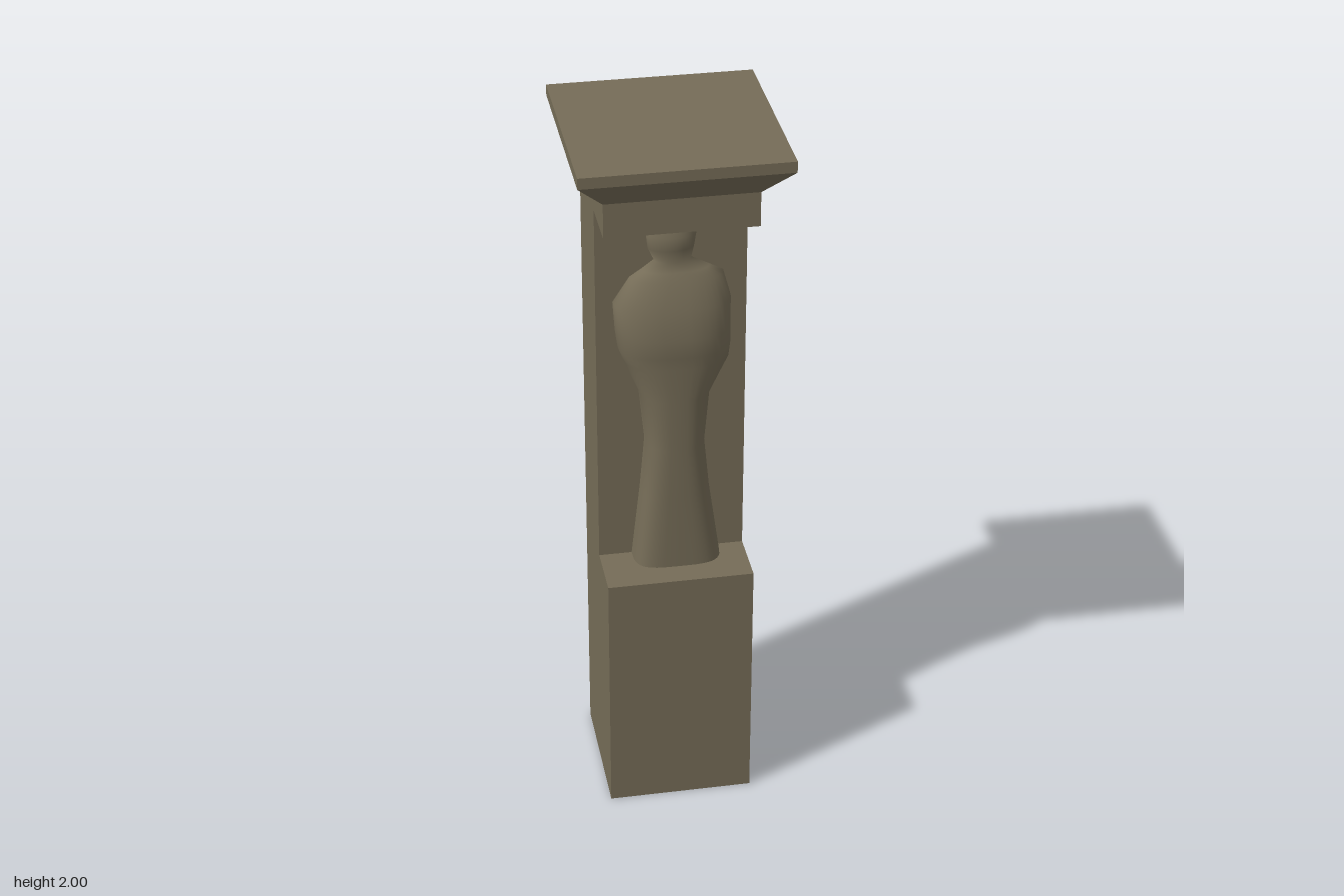
import * as THREE from 'three';

const stone = new THREE.MeshStandardMaterial({ color: 0x756c57, side: THREE.DoubleSide });
stone.name = 'weathered stone';

function add(group, name, geometry) {
  const mesh = new THREE.Mesh(geometry, stone);
  mesh.name = name;
  group.add(mesh);
}

// Drop the triangles lying at the given height, leaving the solid open there
function openAt(geometry, y) {
  const src = geometry.index ? geometry.toNonIndexed() : geometry;
  const p = src.attributes.position, kept = [];
  for (let i = 0; i < p.count; i += 3) {
    if ([0, 1, 2].every(k => Math.abs(p.getY(i + k) - y) < 1e-4)) continue;
    for (let k = 0; k < 3; k++) kept.push(p.getX(i + k), p.getY(i + k), p.getZ(i + k));
  }
  const out = new THREE.BufferGeometry();
  out.setAttribute('position', new THREE.Float32BufferAttribute(kept, 3));
  out.computeVertexNormals();
  return out;
}

// Hollow pillar with a recess cut in its front; side profile is (z, y)
function pillarGeometry() {
  const profile = [[0.2, 0], [0.2, 0.73], [0.04, 0.73], [0.04, 1.79], [0.2, 1.79], [0.2, 1.885], [-0.2, 1.885], [-0.2, 0]];
  const shape = new THREE.Shape(profile.map(([z, y]) => new THREE.Vector2(z, y)));
  const g = new THREE.ExtrudeGeometry(shape, { depth: 0.4, bevelEnabled: false });
  g.translate(0, 0, -0.2).rotateY(-Math.PI / 2);
  return openAt(g, 0);
}

// Splayed moulding: a box whose lower corners are drawn in to the pillar
function mouldingGeometry() {
  const g = new THREE.BoxGeometry(0.546, 0.085, 0.556).translate(0, 1.9275, 0);
  const p = g.attributes.position;
  for (let i = 0; i < p.count; i++) {
    if (p.getY(i) < 1.9) {
      p.setX(i, Math.sign(p.getX(i)) * 0.2);
      p.setZ(i, Math.sign(p.getZ(i)) * 0.2);
    }
  }
  return openAt(openAt(g, 1.885), 1.97);
}

// Robed relief figure: half-round sections against the recess wall
function figureGeometry() {
  // y, right edge, left edge, depth, squareness
  const rows = [
    [1.775, -0.02, 0.04, 0.003, 1],
    [1.755, -0.05, 0.058, 0.013, 1],
    [1.71, -0.066, 0.066, 0.04, 1],
    [1.67, -0.062, 0.06, 0.034, 1],
    [1.635, -0.046, 0.052, 0.032, 1],
    [1.61, -0.08, 0.1, 0.04, 0.9],
    [1.59, -0.11, 0.137, 0.055, 0.85],
    [1.52, -0.155, 0.156, 0.083, 0.8],
    [1.44, -0.15, 0.156, 0.1, 0.8],
    [1.385, -0.143, 0.156, 0.094, 0.8],
    [1.35, -0.13, 0.152, 0.092, 0.8],
    [1.25, -0.088, 0.1, 0.09, 0.75],
    [1.1, -0.073, 0.086, 0.09, 0.7],
    [0.95, -0.086, 0.1, 0.09, 0.65],
    [0.73, -0.11, 0.13, 0.09, 0.55],
  ];
  const n = 20, pos = [], idx = [];
  rows.forEach(([y, x0, x1, depth, e], r) => {
    for (let i = 0; i <= n; i++) {
      const a = (i / n) * Math.PI, c = Math.cos(a);
      const x = (x0 + x1) / 2 + (x1 - x0) / 2 * Math.sign(c) * Math.abs(c) ** e;
      pos.push(x, y, 0.04 + depth * Math.max(0, Math.sin(a)) ** e);
      if (r < rows.length - 1 && i < n) {
        const k = r * (n + 1) + i, d = k + n + 1;
        idx.push(k, k + 1, d, k + 1, d + 1, d);
      }
    }
  });
  const g = new THREE.BufferGeometry();
  g.setAttribute('position', new THREE.Float32BufferAttribute(pos, 3));
  g.setIndex(idx);
  g.computeVertexNormals();
  return g;
}

export function createModel() {
  const model = new THREE.Group();
  model.name = 'carvedPillar';
  add(model, 'pillar', pillarGeometry());
  add(model, 'reliefFigure', figureGeometry());
  add(model, 'capMoulding', mouldingGeometry());
  add(model, 'capSlab', new THREE.BoxGeometry(0.546, 0.03, 0.556).translate(0, 1.985, 0));
  return model;
}
